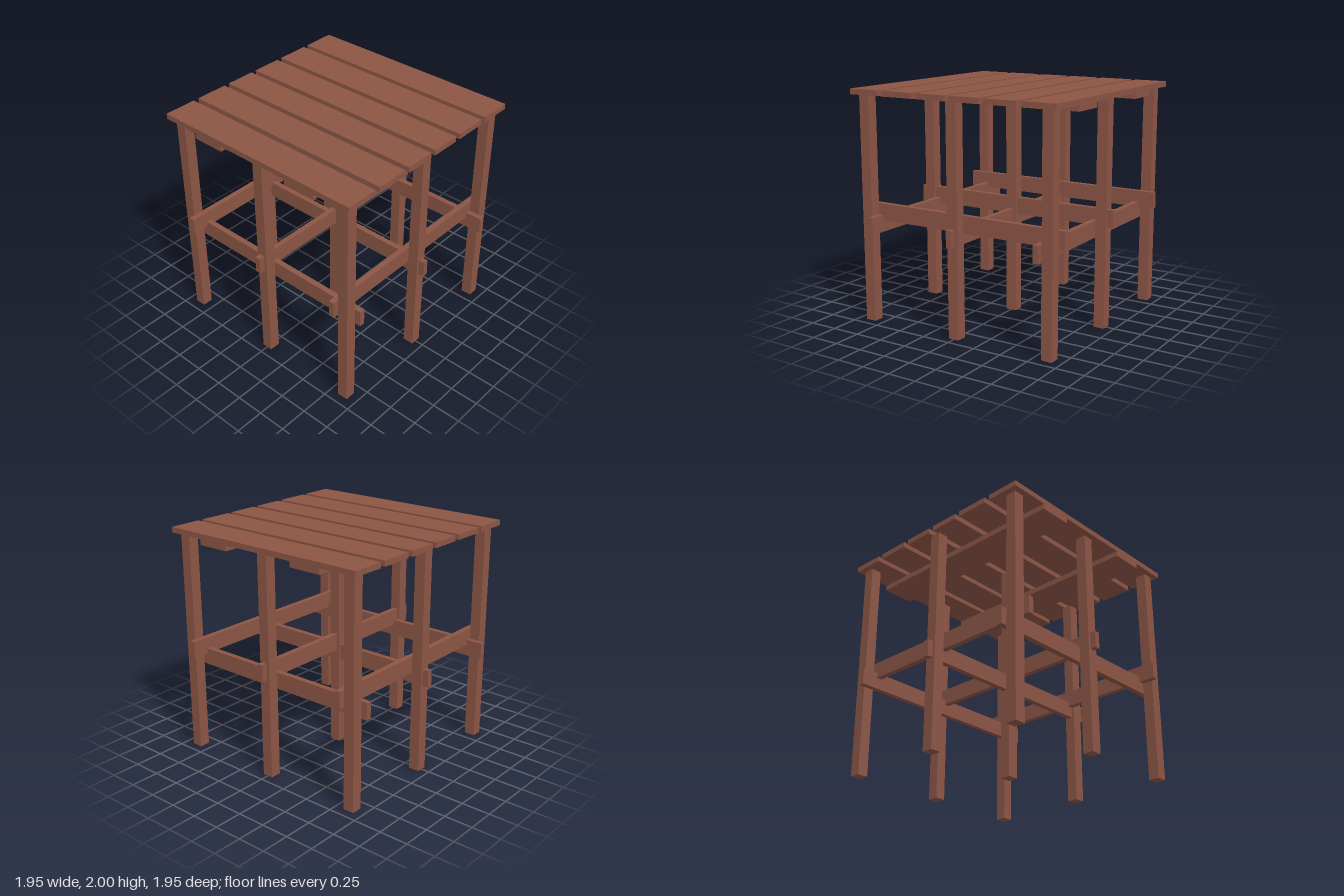
import * as THREE from 'three';

export function createModel() {
  const model = new THREE.Group();
  const wood = new THREE.MeshStandardMaterial({ color: 0x8b5545 });

  // Box from its min and max corners on each axis
  const board = (name, [x0, x1], [y0, y1], [z0, z1]) => {
    const mesh = new THREE.Mesh(new THREE.BoxGeometry(x1 - x0, y1 - y0, z1 - z0), wood);
    mesh.position.set((x0 + x1) / 2, (y0 + y1) / 2, (z0 + z1) / 2);
    mesh.name = name;
    model.add(mesh);
  };
  const around = (c, width) => [c - width / 2, c + width / 2];

  const span = [-0.975, 0.975];
  const thick = 0.049;
  const deckBottom = 1.953;

  // Nine square posts in a 3 x 3 grid
  for (const x of [-0.876, 0, 0.876])
    for (const z of [-0.876, 0, 0.876])
      board('post', around(x, 0.095), [0, deckBottom], around(z, 0.095));

  // Lower rails both ways, against the inner faces of the posts
  for (const p of [-0.805, 0, 0.805]) {
    board('crossRail', span, [0.783, 0.928], around(p, thick));
    board('sideRail', around(p, thick), [0.882, 1.027], span);
  }

  // Two flat battens under the deck
  for (const x of [-0.488, 0.488])
    board('deckBatten', around(x, 0.293), [1.905, deckBottom], span);

  // Six deck planks; the middle two are slightly narrower
  for (const [inner, outer] of [[0.025, 0.293], [0.342, 0.635], [0.684, 0.975]]) {
    board('deckPlank', span, [deckBottom, 2], [inner, outer]);
    board('deckPlank', span, [deckBottom, 2], [-outer, -inner]);
  }

  return model;
}
